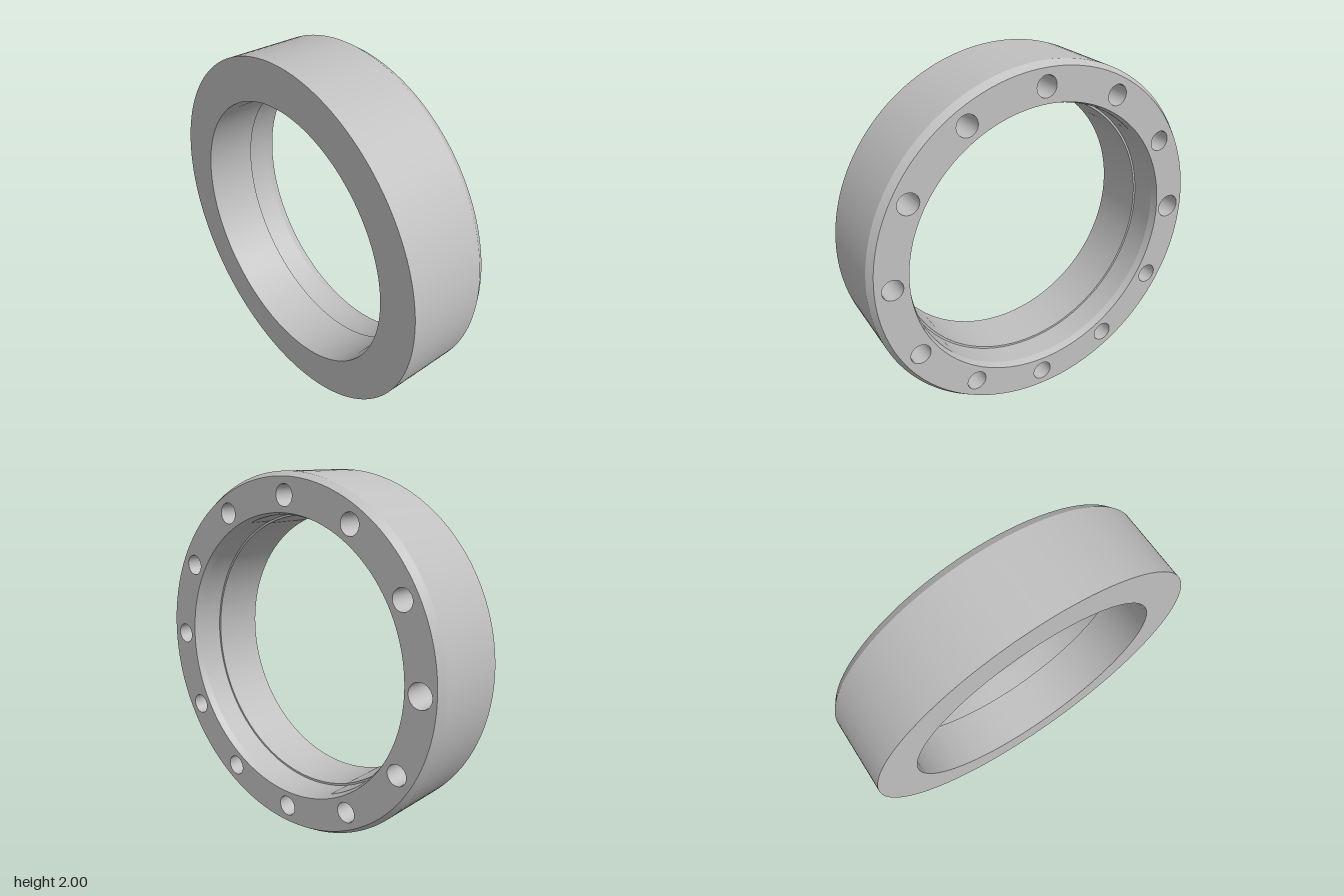
import * as THREE from 'three';

const HALF = 0.24;        // half the ring width
const FACE_OUT = 0.975, FACE_IN = 0.79;
const SEG = 144;

// Points of a circle
function circle(cx, cy, r, n) {
  return Array.from({ length: n }, (_, i) => {
    const a = (i / n) * Math.PI * 2;
    return new THREE.Vector2(cx + r * Math.cos(a), cy + r * Math.sin(a));
  });
}

export function createModel() {
  const root = new THREE.Group();
  const metal = new THREE.MeshStandardMaterial({ color: 0xc0c0c0 });
  metal.name = 'grey metal';

  // Revolves one [radius, x] segment about the x axis, keeping edges sharp
  function band(name, from, to, segments = SEG) {
    const pts = [from, to].map(p => new THREE.Vector2(p[0], p[1]));
    const geo = new THREE.LatheGeometry(pts, segments, Math.PI / 2);
    geo.rotateZ(-Math.PI / 2);
    const mesh = new THREE.Mesh(geo, metal);
    mesh.name = name;
    return mesh;
  }

  const ring = new THREE.Group();
  ring.name = 'ring';
  ring.position.y = 1;
  root.add(ring);

  // Ring body: back face, outer wall, chamfer, then the stepped bore
  const step = 0.055;
  ring.add(
    band('backFace', [0.765, -HALF], [1, -HALF]),
    band('outerWall', [1, -HALF], [1, 0.2]),
    band('outerChamfer', [1, 0.2], [FACE_OUT, HALF]),
    band('boreEntry', [FACE_IN, HALF], [0.777, 0.2]),
    band('counterbore', [0.777, 0.2], [0.777, step]),
    band('boreStep', [0.777, step], [0.765, step]),
    band('bore', [0.765, step], [0.765, -HALF])
  );

  // Drilled face: twelve holes, one of them larger
  const face = new THREE.Shape(circle(0, 0, FACE_OUT, SEG));
  face.holes.push(new THREE.Path(circle(0, 0, FACE_IN, SEG)));
  for (let i = 0; i < 12; i++) {
    const a = (i / 12) * Math.PI * 2;
    const r = i === 0 ? 0.068 : 0.058;
    const u = 0.88 * Math.cos(a), v = 0.88 * Math.sin(a);
    face.holes.push(new THREE.Path(circle(u, v, r, 32)));

    // Blind hole with a conical bottom
    const hole = new THREE.Group();
    hole.name = 'boltHole' + (i + 1);
    hole.position.set(HALF, v, -u);
    hole.add(
      band('holeWall', [r, 0], [r, -0.2], 32),
      band('holeTip', [r, -0.2], [0, -0.2 - r * 0.6], 32)
    );
    ring.add(hole);
  }
  const faceGeo = new THREE.ShapeGeometry(face);
  faceGeo.rotateY(Math.PI / 2);
  faceGeo.translate(HALF, 0, 0);
  const drilled = new THREE.Mesh(faceGeo, metal);
  drilled.name = 'drilledFace';
  ring.add(drilled);

  return root;
}
